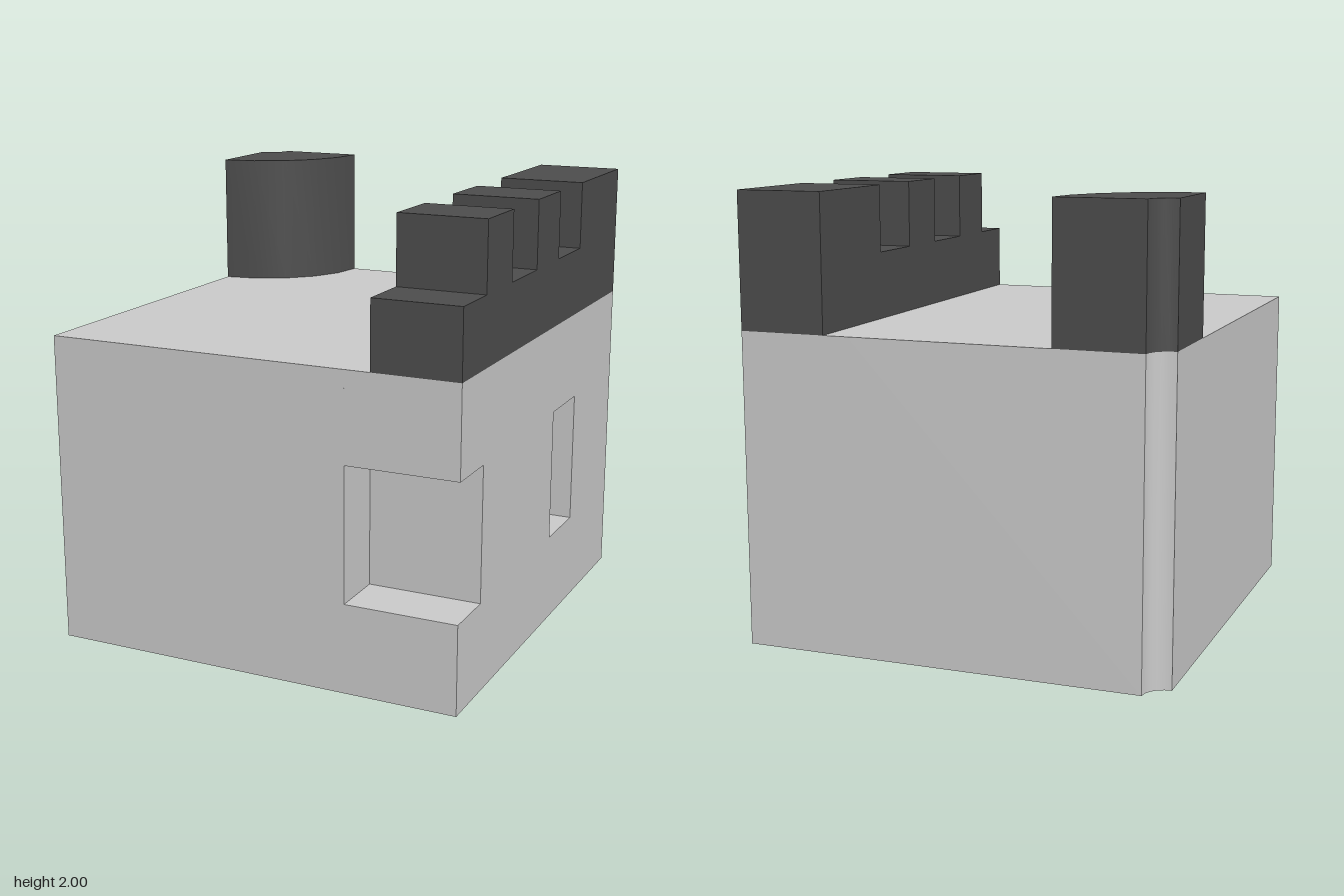
import * as THREE from 'three';
import { toCreasedNormals } from 'three/addons/utils/BufferGeometryUtils.js';

const stone = new THREE.MeshStandardMaterial({ color: 0xcccccc });
const darkStone = new THREE.MeshStandardMaterial({ color: 0x4d4d4d });

const HALF_W = 0.95, WALL_TOP = 1.4, INNER_X = 0.445;

const toShape = (pts) => new THREE.Shape(pts.map(([a, b]) => new THREE.Vector2(a, b)));

// Quarter arc around the back corner, in plan coordinates (x, -z)
function cornerArc(radius, from, to, steps = 5) {
  return Array.from({ length: steps + 1 }, (_, i) => {
    const a = from + ((to - from) * i) / steps;
    return [-HALF_W + radius * Math.cos(a), 1 + radius * Math.sin(a)];
  });
}

// Plan outline (x, -z) raised from y0 to y1
function raisePlan(pts, y0, y1) {
  const g = new THREE.ExtrudeGeometry(toShape(pts), { depth: y1 - y0, bevelEnabled: false });
  g.rotateX(-Math.PI / 2).translate(0, y0, 0);
  return toCreasedNormals(g, 0.6);
}

// Side outline (-z, y) extruded across from x0 to x1
function extrudeSide(shape, x0, x1) {
  const g = new THREE.ExtrudeGeometry(shape, { depth: x1 - x0, bevelEnabled: false });
  return g.rotateY(Math.PI / 2).translate(x0, 0, 0);
}

export function createModel() {
  const model = new THREE.Group();
  model.name = 'castleBlock';
  const add = (name, geometry, material) => {
    const mesh = new THREE.Mesh(geometry, material);
    mesh.name = name;
    model.add(mesh);
  };

  // Main block with a round groove down its back corner
  const groove = cornerArc(0.1, 0, -Math.PI / 2);
  add('mainBlock', raisePlan(
    [[-HALF_W, -1], [INNER_X, -1], [INNER_X, 1], ...groove], 0, WALL_TOP), stone);

  // Side wall: corner opening at the front, window towards the back
  const wall = toShape([
    [-1, 0], [1, 0], [1, WALL_TOP], [-1, WALL_TOP],
    [-1, 1], [-0.75, 1], [-0.75, 0.4], [-1, 0.4],
  ]);
  wall.holes.push(toShape([[0.13, 0.4], [0.13, 1], [0.435, 1], [0.435, 0.4]]));
  add('sideWall', extrudeSide(wall, INNER_X, HALF_W), stone);

  // Battlement with three merlons, given as [start, end] along -z
  const outline = [[1, WALL_TOP], [-1, WALL_TOP], [-1, 1.7]].reverse();
  const merlons = [[-0.755, -0.465], [-0.16, 0.13], [0.435, 1]];
  const crest = merlons.flatMap(([a, b]) =>
    b < 1 ? [[a, 1.7], [a, 2], [b, 2], [b, 1.7]] : [[a, 1.7], [a, 2], [b, 2]]);
  add('battlement', extrudeSide(
    toShape([...outline, ...crest.reverse()]), 0.56, HALF_W), darkStone);

  // Quarter-round turret on the back corner
  add('turret', raisePlan(
    [...cornerArc(0.49, -Math.PI / 2, 0), ...groove], WALL_TOP, 2), darkStone);

  return model;
}
